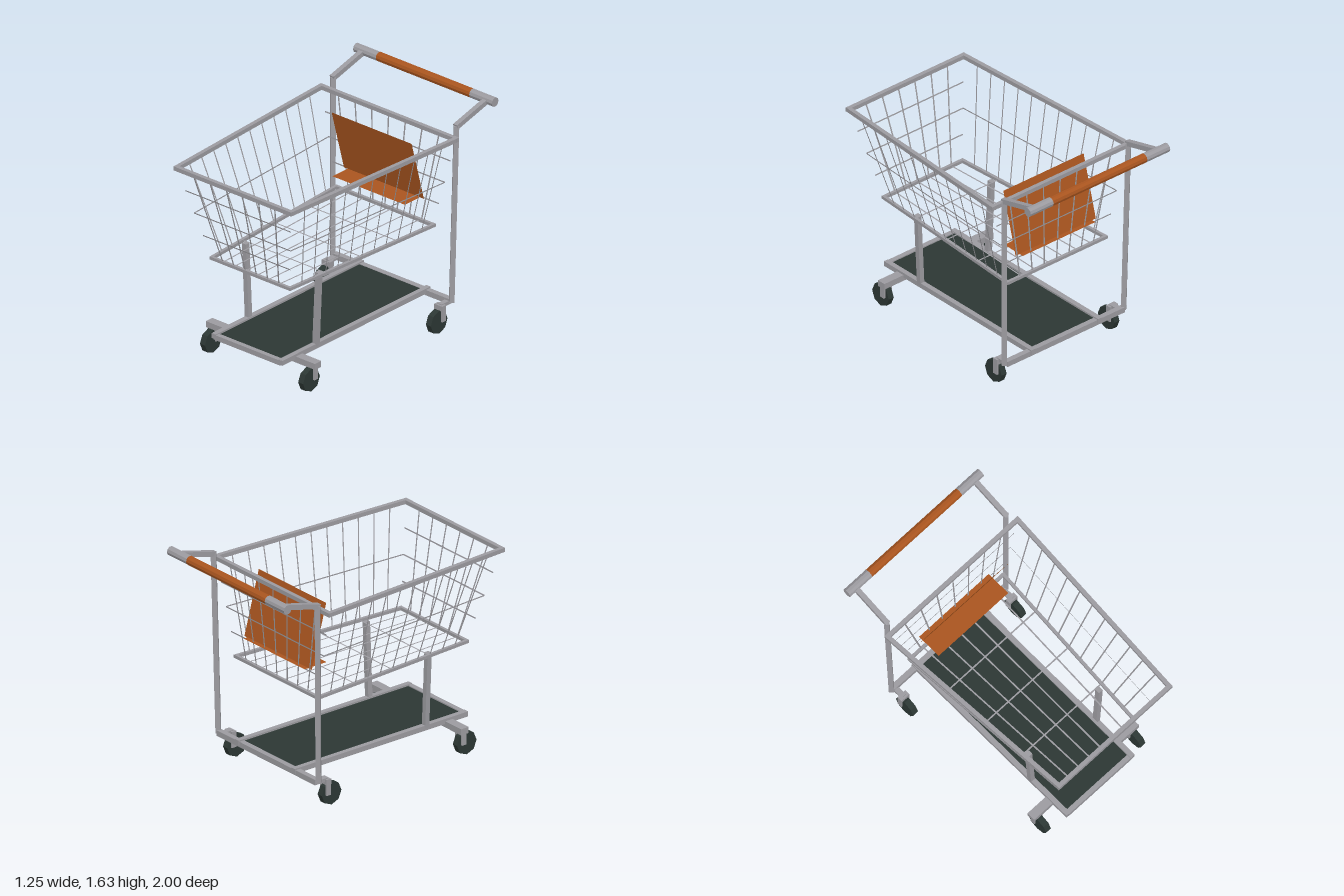
import * as THREE from 'three';

const mat = (name, color, extra = {}) => {
  const m = new THREE.MeshStandardMaterial({ color, ...extra });
  m.name = name;
  return m;
};

export function createModel() {
  const steel = mat('steel', 0x9c9ba0);
  const wireSteel = mat('wireSteel', 0x9c9ba0, { side: THREE.DoubleSide });
  const orange = mat('orange', 0xa9551f);
  const seatOrange = mat('seatOrange', 0xa9551f, { side: THREE.DoubleSide });
  const rubber = mat('darkRubber', 0x2c3734);
  const cart = new THREE.Group();
  cart.name = 'shoppingCart';
  const V = (x, y, z) => new THREE.Vector3(x, y, z);

  const add = (name, geo, material, pos = V(0, 0, 0), parent = cart) => {
    const m = new THREE.Mesh(geo, material);
    m.name = name;
    m.position.copy(pos);
    parent.add(m);
    return m;
  };
  const box = (name, w, h, d, x, y, z, material = steel, parent = cart) =>
    add(name, new THREE.BoxGeometry(w, h, d), material, V(x, y, z), parent);

  // Square bar between two points
  const beam = (name, a, b, t, parent = cart) => {
    const dir = b.clone().sub(a);
    const m = add(name, new THREE.BoxGeometry(t, t, dir.length()), steel,
      a.clone().add(b).multiplyScalar(0.5), parent);
    if (Math.abs(dir.y) > 0.9 * dir.length()) m.up.set(0, 0, 1);
    m.lookAt(b);
    return m;
  };

  // Basket corner lines: u across (-1..1), v back to front (0..1), t floor to rim (0..1)
  const L = THREE.MathUtils.lerp;
  const at = (u, v, t) => V(
    u * L(L(0.438, 0.607, t), L(0.352, 0.515, t), v),
    L(0.77, 1.455, t),
    L(L(-0.55, -0.588, t), L(0.812, 0.985, t), v));

  const basket = new THREE.Group();
  basket.name = 'basket';
  cart.add(basket);

  // Flat wire between two points, lying in the basket wall with the given normal
  const wire = (name, a, b, t, normal) => {
    const d = b.clone().sub(a), len = d.length();
    d.normalize();
    const n = normal.clone().addScaledVector(d, -normal.dot(d)).normalize();
    const m = add(name, new THREE.PlaneGeometry(t, len), wireSteel,
      a.clone().add(b).multiplyScalar(0.5), basket);
    m.quaternion.setFromRotationMatrix(
      new THREE.Matrix4().makeBasis(d.clone().cross(n), d, n));
  };

  // Rims
  for (const [name, t, w] of [['floorRim', 0, 0.022], ['topRim', 1, 0.03]]) {
    const c = [at(-1, 0, t), at(1, 0, t), at(1, 1, t), at(-1, 1, t)];
    c.forEach((p, i) => {
      const q = c[(i + 1) % 4], e = q.clone().sub(p).normalize().multiplyScalar(w / 2);
      beam(name, p.clone().sub(e), q.clone().add(e), w, basket);
    });
  }

  // Front, back and floor wires
  const X = V(1, 0, 0), Y = V(0, 1, 0);
  const frontN = V(0, -0.245, 0.97), backN = V(0, -0.055, -1);
  for (let i = 1; i <= 6; i++) {
    const u = -1 + (2 * i) / 7;
    wire('frontWire', at(u, 1, 0), at(u, 1, 1), 0.012, frontN);
    wire('floorWire', at(u, 0, 0), at(u, 1, 0), 0.011, Y);
  }
  for (let i = 1; i <= 7; i++) {
    const u = -1 + i / 4;
    wire('backWire', at(u, 0, 0), at(u, 0, 1), 0.012, backN);
  }
  for (const f of [0.25, 0.5, 0.75]) {
    wire('frontCrossWire', at(-1, 1, f), at(1, 1, f), 0.01, frontN);
    wire('backCrossWire', at(-1, 0, f), at(1, 0, f), 0.01, backN);
    wire('floorCrossWire', at(-1, f, 0), at(1, f, 0), 0.011, Y);
  }

  // Side wires
  for (const s of [-1, 1]) {
    for (let i = 1; i <= 11; i++) {
      wire('sideWire', at(s, i / 12, 0), at(s, i / 12, 1), 0.01, X);
    }
    wire('sideCrossWire', at(s, 0, 0.5), at(s, 1, 0.5), 0.009, X);
  }

  // Child seat: leaning back flap and flat shelf
  const flap = add('seatFlap', new THREE.PlaneGeometry(0.72, Math.hypot(0.46, 0.125)),
    seatOrange, V(0, 1.175, -0.478));
  flap.rotation.x = Math.atan2(0.125, 0.46);
  const shelf = add('seatShelf', new THREE.PlaneGeometry(0.65, 0.19), seatOrange, V(0, 0.947, -0.48));
  shelf.rotation.x = -Math.PI / 2;

  // Push handle: steel ends with a coloured grip
  const rod = (name, len, r, x, material) => {
    const g = new THREE.CylinderGeometry(r, r, len, 10).toNonIndexed();
    g.computeVertexNormals();
    add(name, g, material, V(x, 1.602, -0.965)).rotation.z = Math.PI / 2;
  };
  rod('handleGrip', 0.84, 0.034, 0, orange);

  // Lower frame and tray
  box('tray', 0.58, 0.012, 1.44, 0, 0.21, 0.11, rubber);
  box('trayFrontBar', 0.6, 0.037, 0.035, 0, 0.206, 0.834);
  box('frontAxle', 0.98, 0.045, 0.065, 0, 0.19, 0.683);
  box('rearCrossBar', 1.05, 0.04, 0.04, 0, 0.2, -0.628);

  const wheelGeo = new THREE.CylinderGeometry(0.085, 0.085, 0.045, 8).toNonIndexed();
  wheelGeo.computeVertexNormals();

  for (const s of [-1, 1]) {
    rod('handleEnd', 0.205, 0.034, s * 0.5225, steel);
    // Posts stand edge-on, turned an eighth about their own length
    beam('rearPost', V(s * 0.535, 0.195, -0.625), V(s * 0.556, 1.52, -0.65), 0.036)
      .rotateZ(Math.PI / 4);
    beam('handleArm', V(s * 0.556, 1.515, -0.64), V(s * 0.556, 1.6, -0.965), 0.036);
    box('trayRail', 0.037, 0.037, 1.505, s * 0.3, 0.211, 0.098);
    beam('basketSupport', V(s * 0.303, 0.21, 0.493), V(s * 0.33, 0.77, 0.493), 0.036);

    // Casters: wheel between two fork plates
    for (const [name, x, z, forkZ, top] of [
      ['frontCaster', 0.442, 0.72, 0.687, 0.175], ['rearCaster', 0.506, -0.505, -0.54, 0.2]]) {
      const caster = new THREE.Group();
      caster.name = name;
      cart.add(caster);
      add('wheel', wheelGeo, rubber, V(s * x, 0.085, z), caster).rotation.z = Math.PI / 2;
      box('forkTop', 0.074, top - 0.16, 0.04, s * x, (top + 0.16) / 2, forkZ, steel, caster);
      for (const k of [-1, 1]) {
        box('forkPlate', 0.012, 0.09, 0.038, s * x + k * 0.031, 0.127, forkZ, steel, caster);
      }
    }
    // Bracket joining the rear caster to the cross bar
    box('casterBracket', 0.04, 0.025, 0.09, s * 0.506, 0.193, -0.58);
  }
  return cart;
}
